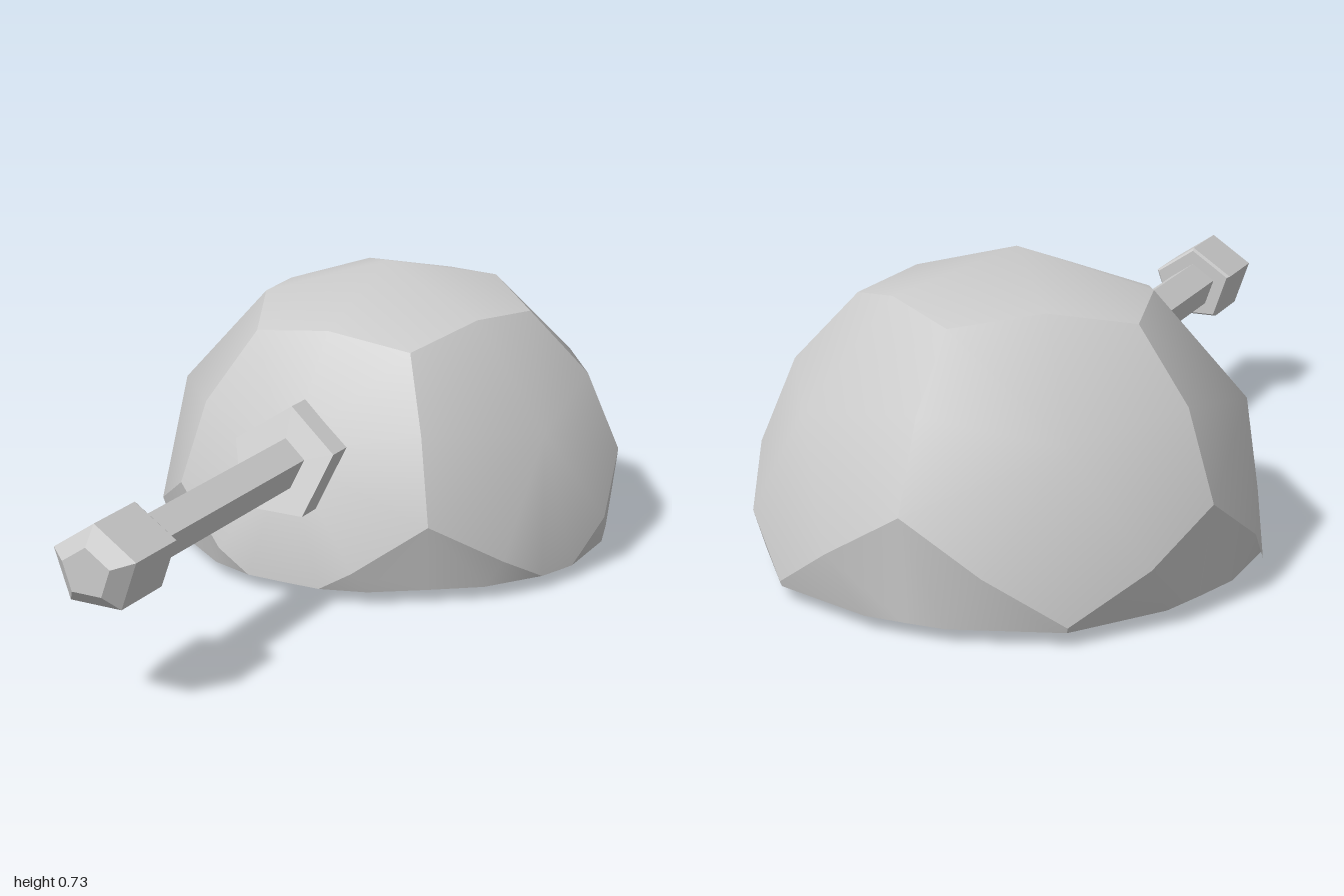
import * as THREE from 'three';
import { mergeVertices, mergeGeometries } from 'three/addons/utils/BufferGeometryUtils.js';

const R = 0.602, CUT = 0.033, TILT = 0.068, CENTER = new THREE.Vector3(0, 0.125, -0.42);
const AXIS_Y = 0.339, LEAN = Math.tan(THREE.MathUtils.degToRad(22.6)), SQUASH = 0.925;

// Twelve panel centres: two poles and two rings of five, leaning a little forward
function panelCenters() {
  const list = [new THREE.Vector3(0, 1, 0), new THREE.Vector3(0, -1, 0)];
  for (let k = 0; k < 5; k++) {
    const a = k * Math.PI * 0.4, h = 2 / Math.sqrt(5);
    const v = new THREE.Vector3(Math.sin(a) * h, h / 2, Math.cos(a) * h);
    list.push(v, v.clone().negate());
  }
  return list.map(v => v.applyAxisAngle(new THREE.Vector3(1, 0, 0), TILT));
}

// Keeps the part of a polygon above the base plane
function clip(poly, cut) {
  const out = [];
  poly.forEach((a, i) => {
    const b = poly[(i + 1) % poly.length];
    if (a.y >= cut) out.push(a);
    if ((a.y >= cut) !== (b.y >= cut)) out.push(a.clone().lerp(b, (cut - a.y) / (b.y - a.y)));
  });
  return out;
}

function geometryFrom(points) {
  return new THREE.BufferGeometry().setFromPoints(points);
}

function buildDome(material) {
  const centers = panelCenters(), panels = [], rim = [];
  const onSphere = v => v.normalize().multiplyScalar(R).add(CENTER);
  for (const c of centers) {
    // Neighbours in counter-clockwise order give the panel's corners and edge middles
    const near = centers.filter(n => n.dot(c) > 0.3 && n.dot(c) < 0.9);
    const u = near[0].clone().addScaledVector(c, -near[0].dot(c)).normalize();
    const w = c.clone().cross(u);
    const angle = n => Math.atan2(n.dot(w), n.dot(u));
    near.sort((a, b) => angle(a) - angle(b));
    const ring = near.flatMap((n, i) => [
      onSphere(c.clone().add(n)),
      onSphere(c.clone().add(n).add(near[(i + 1) % 5])),
    ]);
    const middle = onSphere(c.clone());
    // One side panel keeps its corner, which pokes out below the base
    const whole = c.x < -0.8 && c.y > 0;
    const tris = [];
    ring.forEach((p, i) => {
      const tri = [middle, p, ring[(i + 1) % 10]];
      const poly = clip(tri, whole ? -1 : CUT);
      for (let k = 1; k < poly.length - 1; k++) tris.push(poly[0], poly[k], poly[k + 1]);
      rim.push(...clip(tri, CUT).filter(q => Math.abs(q.y - CUT) < 1e-6));
    });
    if (!tris.length) continue;
    // Smooth inside each panel, creased between panels
    const g = mergeVertices(geometryFrom(tris), 1e-5);
    g.computeVertexNormals();
    panels.push(g.toNonIndexed());
  }
  const dome = new THREE.Mesh(mergeGeometries(panels), material);
  dome.name = 'dome';

  // Flat underside
  const around = p => Math.atan2(p.z - CENTER.z, p.x);
  rim.sort((a, b) => around(a) - around(b));
  const hub = new THREE.Vector3(0, CUT, CENTER.z);
  const cap = geometryFrom(rim.flatMap((p, i) => [hub, p, rim[(i + 1) % rim.length]]));
  cap.setAttribute('normal', new THREE.Float32BufferAttribute(
    rim.flatMap(() => [0, -1, 0, 0, -1, 0, 0, -1, 0]), 3));
  const base = new THREE.Mesh(cap, material);
  base.name = 'base';
  return [dome, base];
}

// Five-sided bar along z with a corner on top
function pentagonBar(name, r0, r1, z0, z1, material, lean = 0) {
  const g = new THREE.CylinderGeometry(r1, r0, z1 - z0, 5);
  g.rotateY(Math.PI).rotateX(Math.PI / 2).scale(1, SQUASH, 1);
  g.translate(0, 0, (z0 + z1) / 2);
  const p = g.attributes.position;
  for (let i = 0; i < p.count; i++) p.setZ(i, p.getZ(i) - p.getY(i) * lean);
  g.translate(0, AXIS_Y, 0);
  const mesh = new THREE.Mesh(g, material);
  mesh.name = name;
  return mesh;
}

export function createModel() {
  const smooth = new THREE.MeshStandardMaterial({ color: 0xcccccc, side: THREE.DoubleSide });
  const flat = new THREE.MeshStandardMaterial({ color: 0xcccccc, flatShading: true });
  const model = new THREE.Group();
  model.name = 'turret';
  model.add(...buildDome(smooth));

  // Collar lies parallel to the front panel; barrel and muzzle run straight ahead
  model.add(
    pentagonBar('collar', 0.142, 0.142, 0.09, 0.166, flat, LEAN),
    pentagonBar('barrel', 0.064, 0.064, 0.08, 0.81, flat),
  );
  const muzzle = new THREE.Group();
  muzzle.name = 'muzzle';
  muzzle.add(
    pentagonBar('muzzleBack', 0.104, 0.111, 0.797, 0.805, flat),
    pentagonBar('muzzleBody', 0.111, 0.111, 0.805, 0.965, flat),
    pentagonBar('muzzleTip', 0.111, 0.064, 0.965, 1, flat),
  );
  model.add(muzzle);
  return model;
}
